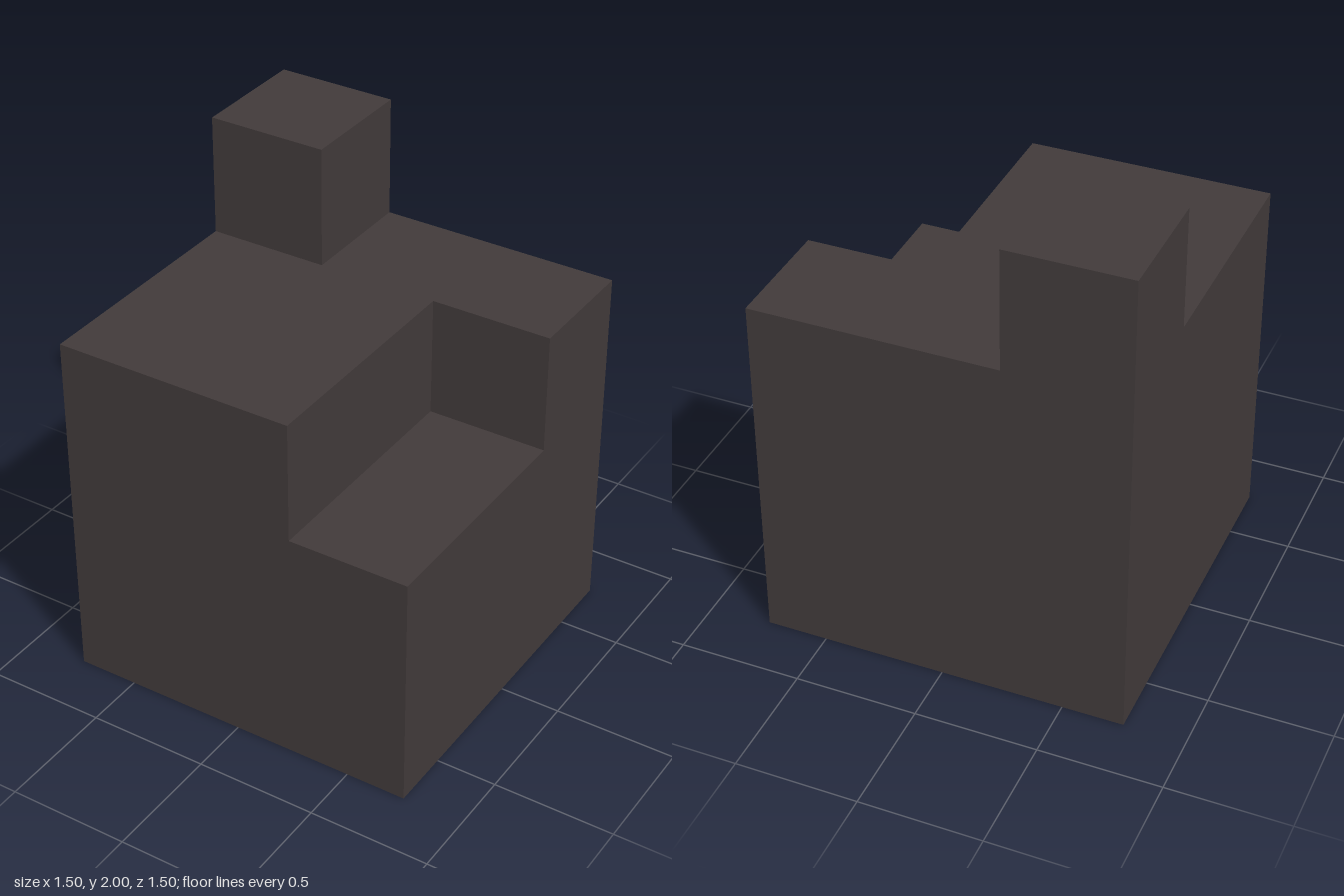
import * as THREE from 'three';

export function createModel() {
  const model = new THREE.Group();
  model.name = 'steppedBlock';

  const charcoal = new THREE.MeshStandardMaterial({ color: 0x413a3a });
  charcoal.name = 'charcoal';

  const add = (name, geometry) => {
    const mesh = new THREE.Mesh(geometry, charcoal);
    mesh.name = name;
    model.add(mesh);
  };

  // Box given by its minimum corner and size
  const block = (x, y, z, w, h, d) =>
    new THREE.BoxGeometry(w, h, d).translate(x + w / 2, y + h / 2, z + d / 2);

  // Square lower body
  add('base', block(-0.75, 0, -0.75, 1.5, 1, 1.5));

  // L-shaped upper layer, leaving a notch at the front left corner (plan drawn as x, -z)
  const plan = new THREE.Shape([
    [-0.75, -0.75], [0.25, -0.75], [0.25, 0.25],
    [0.75, 0.25], [0.75, 0.75], [-0.75, 0.75],
  ].map(([x, y]) => new THREE.Vector2(x, y)));
  const layer = new THREE.ExtrudeGeometry(plan, { depth: 0.5, bevelEnabled: false });
  add('upperLayer', layer.rotateX(-Math.PI / 2).translate(0, 1, 0));

  // Small cube on the back right corner
  add('cornerCube', block(-0.75, 1.5, -0.75, 0.5, 0.5, 0.5));

  return model;
}
